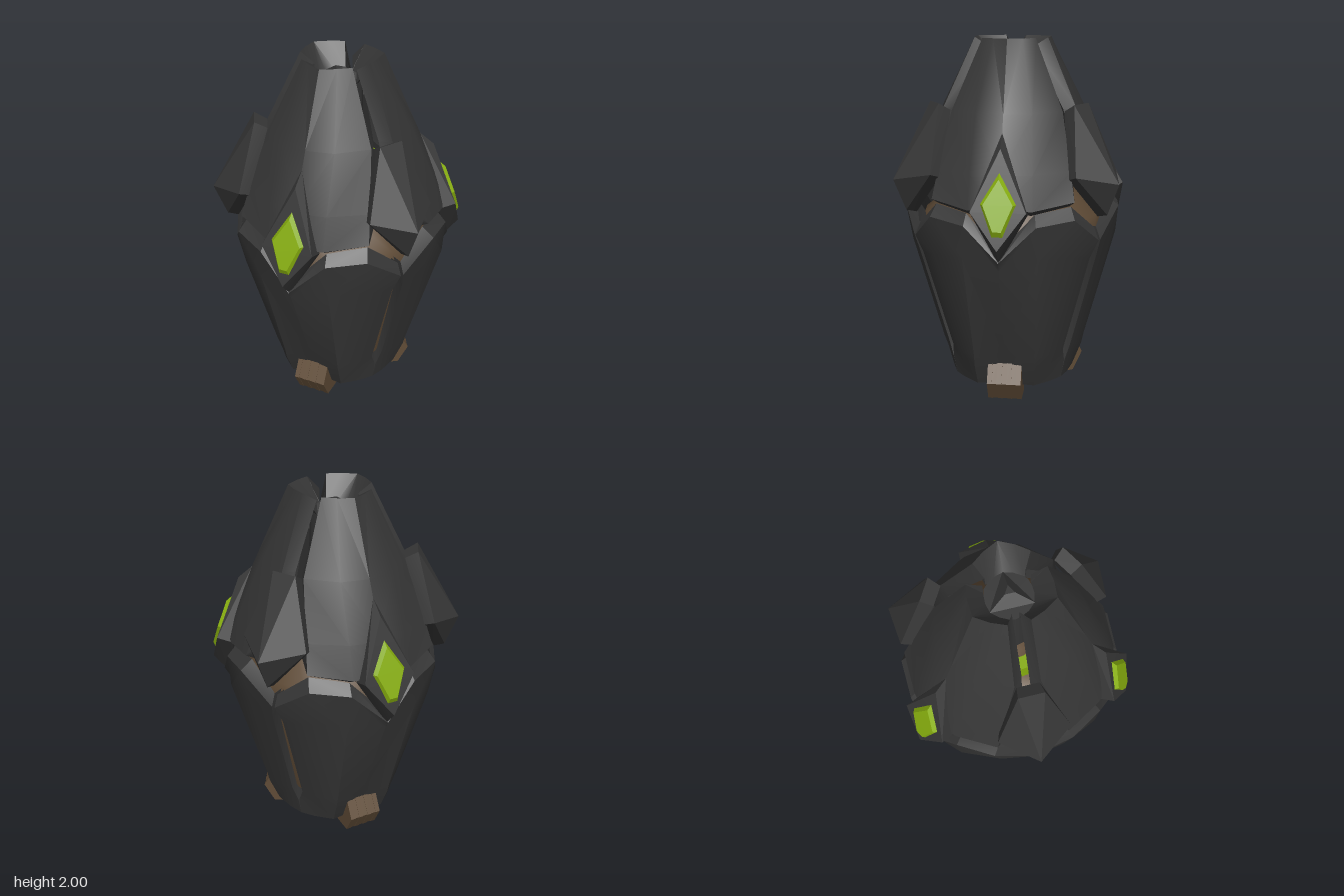
import * as THREE from 'three';
import { ConvexGeometry } from 'three/addons/geometries/ConvexGeometry.js';
import { toCreasedNormals } from 'three/addons/utils/BufferGeometryUtils.js';

const mat = (name, color, side = THREE.FrontSide) => {
  const m = new THREE.MeshStandardMaterial({ color, side });
  m.name = name;
  return m;
};

// Surface through rows of half cross-sections [x, y, z], mirrored across x = 0
function mirroredLoft(rows) {
  const grid = rows.map(r => [...r.slice(1).reverse().map(([x, y, z]) => [-x, y, z]), ...r]);
  const pos = [];
  for (let i = 0; i < grid.length - 1; i++) {
    for (let j = 0; j < grid[0].length - 1; j++) {
      const a = grid[i][j], b = grid[i][j + 1], c = grid[i + 1][j + 1], d = grid[i + 1][j];
      // Mirror the diagonal too
      if (j < grid[0].length / 2 - 1) pos.push(...a, ...b, ...d, ...b, ...c, ...d);
      else pos.push(...a, ...b, ...c, ...a, ...c, ...d);
    }
  }
  const g = new THREE.BufferGeometry();
  g.setAttribute('position', new THREE.Float32BufferAttribute(pos, 3));
  g.computeVertexNormals();
  return toCreasedNormals(g, 0.6);
}

// Convex solid from points, each with x > 0 mirrored
function mirroredHull(points) {
  const out = [];
  for (const [x, y, z] of points) {
    out.push(new THREE.Vector3(x, y, z));
    if (x > 0) out.push(new THREE.Vector3(-x, y, z));
  }
  return toCreasedNormals(new ConvexGeometry(out), 0.4);
}

export function createModel() {
  const model = new THREE.Group();
  model.name = 'pod';
  const shell = mat('charcoal shell', 0x363636, THREE.DoubleSide);
  const brown = mat('brown metal', 0x5f4b36, THREE.DoubleSide);
  const green = mat('green glow', 0x86ad0e);
  const add = (parent, name, geo, material) => {
    const m = new THREE.Mesh(geo, material);
    m.name = name;
    parent.add(m);
    return m;
  };

  // Upper shell: centre, middle, edge and inward flange
  const upperGeo = mirroredLoft([
    [[0, 1.13, 0.57], [0.16, 1.11, 0.52], [0.35, 1.14, 0.41], [0.34, 1.16, 0.37]],
    [[0, 1.15, 0.61], [0.17, 1.14, 0.565], [0.38, 1.17, 0.45], [0.36, 1.18, 0.38]],
    [[0, 1.32, 0.545], [0.165, 1.32, 0.51], [0.355, 1.32, 0.389], [0.35, 1.32, 0.236]],
    [[0, 1.62, 0.41], [0.15, 1.62, 0.38], [0.3, 1.62, 0.253], [0.277, 1.62, 0.182]],
    [[0, 2, 0.24], [0.08, 2, 0.2], [0.145, 2, 0.15], [0.103, 1.95, 0.082]],
    [[0, 1.87, 0.13], [0.05, 1.87, 0.115], [0.1, 1.87, 0.082], [0.1, 1.87, 0.08]],
  ]);

  // Lower shell: centre, middle, shoulder and slit edge, plus a lip into the slit
  const lowerRows = [
    [[0, 0.07, 0.3], [0.16, 0.07, 0.32], [0.25, 0.07, 0.24], [0.303, 0.07, 0.175]],
    [[0, 0.2, 0.355], [0.17, 0.2, 0.375], [0.26, 0.2, 0.28], [0.322, 0.18, 0.189]],
    [[0, 0.26, 0.38], [0.17, 0.26, 0.39], [0.275, 0.26, 0.295], [0.316, 0.26, 0.224]],
    [[0, 0.83, 0.61], [0.2, 0.88, 0.57], [0.38, 0.86, 0.43], [0.461, 0.83, 0.305]],
    [[0, 0.88, 0.64], [0.19, 1.06, 0.585], [0.385, 1.08, 0.48], [0.507, 0.93, 0.302]],
    [[0, 0.93, 0.59], [0.18, 1.12, 0.54], [0.36, 1.14, 0.42], [0.48, 1.0, 0.288]],
  ];
  lowerRows.forEach(r => {
    const [x, y, z] = r[3];
    r.push([x - 0.052, y, z - 0.03]);
  });
  const lowerGeo = mirroredLoft(lowerRows);

  // Diamond housing and its raised gem
  const housingGeo = mirroredHull([
    [0, 1.46, 0.53], [0.145, 1.15, 0.645], [0, 0.96, 0.7],
    [0, 1.53, 0.45], [0.145, 1.12, 0.55], [0, 0.87, 0.62],
  ]);
  const gemGeo = mirroredHull([
    [0, 1.355, 0.56], [0.1, 1.19, 0.62], [0.03, 1.02, 0.675],
    [0, 1.315, 0.605], [0.078, 1.19, 0.65], [0.022, 1.06, 0.692],
  ]);

  // Kite-shaped cover standing off the shell joint
  const coverGeo = mirroredHull([
    [0.07, 1.66, 0.46], [0.2, 1.3, 0.56], [0, 1.25, 0.705], [0, 1.075, 0.635],
    [0.06, 1.62, 0.39], [0.18, 1.28, 0.5], [0, 1.06, 0.575],
  ]);

  // Foot: hexagonal profile in stacked slices
  const footShape = (s) => {
    const pts = [[0.24, 0], [0.36, 0], [0.42, 0.11], [0.36, 0.22], [0.27, 0.22], [0.2, 0.1]];
    return new THREE.Shape(pts.map(([r, y]) =>
      new THREE.Vector2(0.31 + (r - 0.31) * s, 0.11 + (y - 0.11) * s)));
  };
  const sliceGeos = [1, 0.975].map(s =>
    new THREE.ExtrudeGeometry(footShape(s), { depth: 0.19 / 7, bevelEnabled: false }).rotateY(-Math.PI / 2));

  for (let k = 0; k < 3; k++) {
    const sector = new THREE.Group();
    sector.name = 'sector' + (k + 1);
    sector.rotation.y = Math.PI / 3 + k * Math.PI * 2 / 3;
    model.add(sector);
    add(sector, 'upperShell', upperGeo, shell);
    add(sector, 'lowerShell', lowerGeo, shell);
    add(sector, 'gemHousing', housingGeo, shell);
    add(sector, 'gem', gemGeo, green);
    const foot = new THREE.Group();
    foot.name = 'foot';
    sector.add(foot);
    for (let i = 0; i < 7; i++) {
      add(foot, 'footSlice', sliceGeos[i % 2], brown).position.x = 0.095 - i * 0.19 / 7;
    }
    add(model, 'jointCover', coverGeo, shell).rotation.y = k * Math.PI * 2 / 3;
  }

  // Inner core seen through the slits and joints
  const v = (r, y) => new THREE.Vector2(r, y);
  add(model, 'innerCore', new THREE.LatheGeometry([
    v(0.3, 0.2), v(0.34, 0.24), v(0.495, 0.83), v(0.5, 1.03), v(0.36, 1.14), v(0.3, 1.26), v(0.16, 1.28), v(0.16, 1.5), v(0, 1.5),
  ], 24), brown);
  add(model, 'coreRing', new THREE.CylinderGeometry(0.23, 0.23, 0.12, 24), green).position.y = 1.34;

  // Hollow base with a rim
  add(model, 'baseBowl', new THREE.LatheGeometry([v(0, 0.17), v(0.2, 0.15), v(0.28, 0.09), v(0.325, 0.1)], 24), shell);
  const rim = add(model, 'baseRim', new THREE.TorusGeometry(0.25, 0.015, 6, 24), shell);
  rim.rotation.x = Math.PI / 2;
  rim.position.y = 0.1;

  // Shaft and three-sided cap between the shell tips
  add(model, 'topShaft', new THREE.CylinderGeometry(0.13, 0.13, 0.4, 12), shell).position.y = 1.67;
  const capGeo = toCreasedNormals(new THREE.CylinderGeometry(0.03, 0.135, 0.06, 3), 0.4);
  const cap = add(model, 'topCap', capGeo, shell);
  cap.rotation.y = Math.PI;
  cap.position.y = 1.9;
  return model;
}
